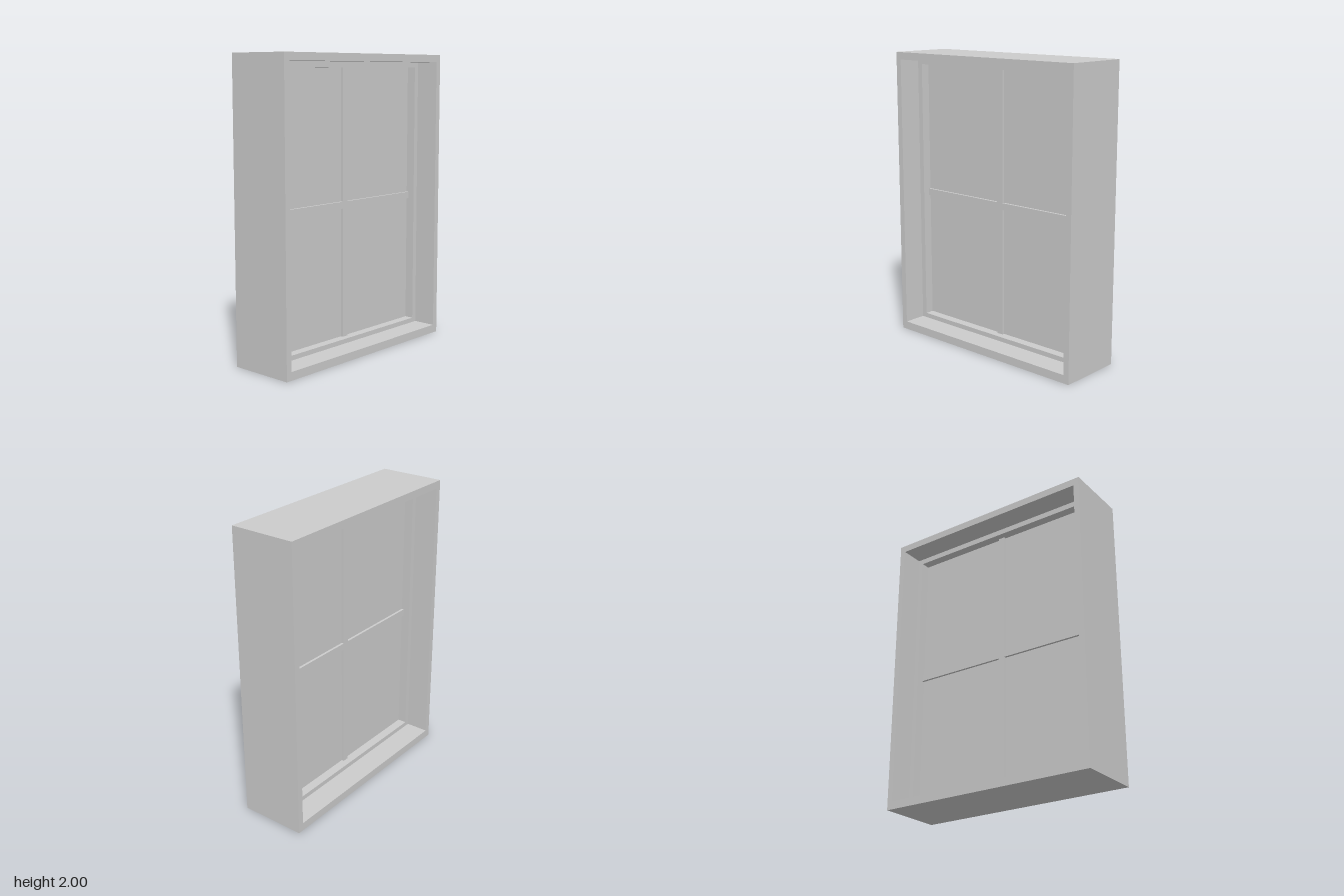
import * as THREE from 'three';

const material = new THREE.MeshStandardMaterial({ color: 0xcccccc, flatShading: true });

// Counter-clockwise rectangle points between two corners
function rect(halfWidth, bottom, top) {
  return [
    new THREE.Vector2(-halfWidth, bottom),
    new THREE.Vector2(halfWidth, bottom),
    new THREE.Vector2(halfWidth, top),
    new THREE.Vector2(-halfWidth, top),
  ];
}

// Rectangular ring extruded symmetrically about z = 0
function ring(name, outer, inner, depth) {
  const shape = new THREE.Shape(rect(...outer));
  shape.holes.push(new THREE.Path(rect(...inner).reverse()));
  const geometry = new THREE.ExtrudeGeometry(shape, { depth, bevelEnabled: false });
  geometry.translate(0, 0, -depth / 2);
  const mesh = new THREE.Mesh(geometry, material);
  mesh.name = name;
  return mesh;
}

function box(name, size, position) {
  const mesh = new THREE.Mesh(new THREE.BoxGeometry(...size), material);
  mesh.name = name;
  mesh.position.set(...position);
  return mesh;
}

export function createModel() {
  const group = new THREE.Group();
  group.name = 'window';

  const casing = [0.768, 0, 2];
  const opening = [0.727, 0.056, 1.95];
  const paneOpening = [0.69, 0.088, 1.912];
  const [halfWidth, bottom, top] = paneOpening;
  const height = top - bottom;
  const barWidth = 0.047;
  const barDepth = 0.04;

  // Deep outer casing and the slimmer sash set midway inside it
  group.add(ring('outerFrame', casing, opening, 0.457));
  group.add(ring('sashFrame', opening, paneOpening, 0.132));

  // Pane
  group.add(box('pane', [halfWidth * 2, height, 0.006], [0, 1, 0]));

  // Crossing glazing bars: one upright, two horizontal halves butting against it
  group.add(box('verticalBar', [barWidth, height, barDepth], [0, 1, 0]));
  const halfBar = halfWidth - barWidth / 2;
  for (const side of [-1, 1]) {
    const x = side * (barWidth / 2 + halfBar / 2);
    group.add(box(side > 0 ? 'leftBar' : 'rightBar', [halfBar, barWidth, barDepth], [x, 0.997, 0]));
  }

  return group;
}
